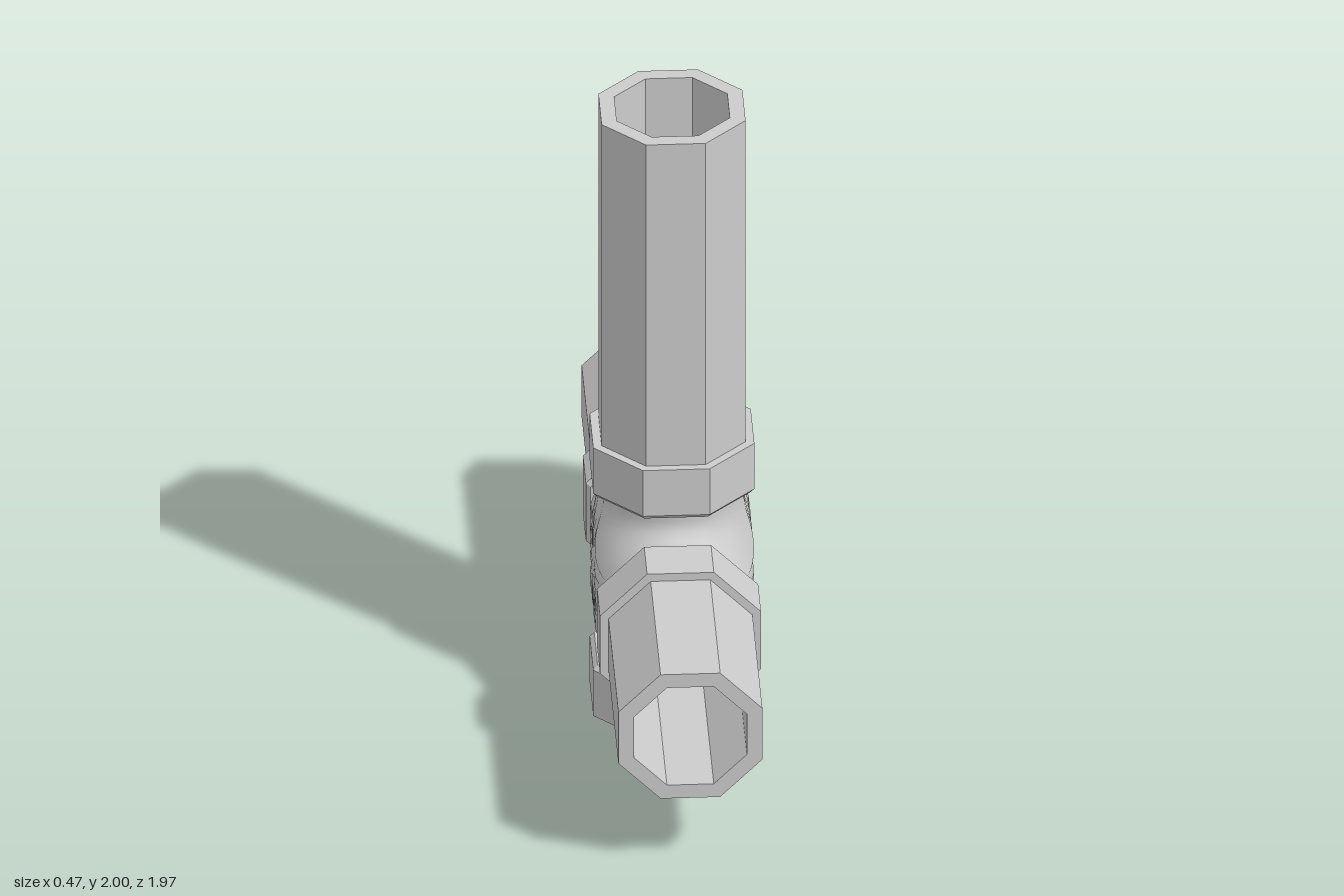
import * as THREE from 'three';
import { mergeGeometries, mergeVertices } from 'three/addons/utils/BufferGeometryUtils.js';

const CENTRE_Y = 0.455, NECK = 0.29, T = Math.tan(Math.PI / 8);
const flat = new THREE.MeshStandardMaterial({ color: 0xcccccc, flatShading: true });
const smooth = new THREE.MeshStandardMaterial({ color: 0xcccccc });

// Closed octagonal ring along y; profile is [apothem, y] pairs, outside going up
function octRing(name, profile) {
  const pts = [...profile, profile[0]].map(([a, y]) => new THREE.Vector2(a / Math.cos(Math.PI / 8), y));
  const mesh = new THREE.Mesh(new THREE.LatheGeometry(pts, 8, Math.PI / 8), flat);
  mesh.name = name;
  return mesh;
}

// One quarter of the four-way hub: half an octagon swept round a filleted L
function hubQuarter(a, bulge, side) {
  const e = a * T, m = (a + e) / 2;
  const profile = [[a, 0], [a, e / 2], [a, e], [m, m], [e, a], [0, a],
    [-e, a], [-m, m], [-a, e], [-a, e / 2], [-a, 0]];
  const pos = [], idx = [];
  const straight = 5, arc = 8;
  const rows = 2 * straight + arc + 1;
  for (const [x, d] of profile) {
    // the fillet widens from the inner corner towards the side panel
    const r = d <= e ? d * 1.6 : THREE.MathUtils.mapLinear(d, e, a, e * 1.6, a * 0.25);
    for (let s = 0; s < rows; s++) {
      let z, y;
      if (s < straight) {
        z = d;
        y = THREE.MathUtils.lerp(NECK, d + r, s / straight);
      } else if (s <= straight + arc) {
        const t = (s - straight) / arc * Math.PI / 2;
        z = d + r - r * Math.cos(t);
        y = d + r - r * Math.sin(t);
      } else {
        z = THREE.MathUtils.lerp(d + r, NECK, (s - straight - arc) / straight);
        y = d;
      }
      const swell = 1 + bulge * (1 - THREE.MathUtils.smoothstep(Math.max(y, z), 0.13, 0.27));
      pos.push(side * x * swell, y, z);
    }
  }
  for (let u = 0; u < profile.length - 1; u++) {
    for (let s = 0; s < rows - 1; s++) {
      const i = u * rows + s, j = i + rows;
      idx.push(i, j, i + 1, j, j + 1, i + 1);
    }
  }
  const g = new THREE.BufferGeometry();
  g.setAttribute('position', new THREE.Float32BufferAttribute(pos, 3));
  g.setIndex(idx);
  return g;
}

// side = 1 faces outwards, side = -1 faces into the bore
function hubShell(name, a, bulge, side) {
  const quarters = [0, 1, 2, 3].map(k => hubQuarter(a, bulge, side).rotateX(k * Math.PI / 2));
  const g = mergeVertices(mergeGeometries(quarters), 1e-4);
  g.computeVertexNormals();
  const mesh = new THREE.Mesh(g, smooth);
  mesh.name = name;
  return mesh;
}

export function createModel() {
  const model = new THREE.Group();
  model.name = 'pipeCross';
  const fitting = new THREE.Group();
  fitting.name = 'fitting';
  fitting.position.y = CENTRE_Y;
  model.add(fitting);

  // Hollow hub
  fitting.add(hubShell('hubOuter', 0.205, 0.13, 1), hubShell('hubBore', 0.155, 0, -1));

  // Four socket collars, three of them holding a pipe
  const arms = [
    ['top', 0, 2 - CENTRE_Y],
    ['front', Math.PI / 2, 0.985],
    ['bottom', Math.PI, 0],
    ['back', -Math.PI / 2, 0.985],
  ];
  for (const [name, angle, end] of arms) {
    const arm = new THREE.Group();
    arm.name = name + 'Arm';
    arm.rotation.x = angle;
    arm.add(octRing(name + 'Collar', [
      [0.155, 0.285], [0.222, 0.285], [0.235, 0.3], [0.235, 0.455],
      [0.2, 0.455], [0.2, 0.32], [0.155, 0.32],
    ]));
    if (end) {
      arm.add(octRing(name + 'Pipe', [[0.21, 0.315], [0.21, end], [0.165, end], [0.165, 0.315]]));
    }
    fitting.add(arm);
  }
  return model;
}
